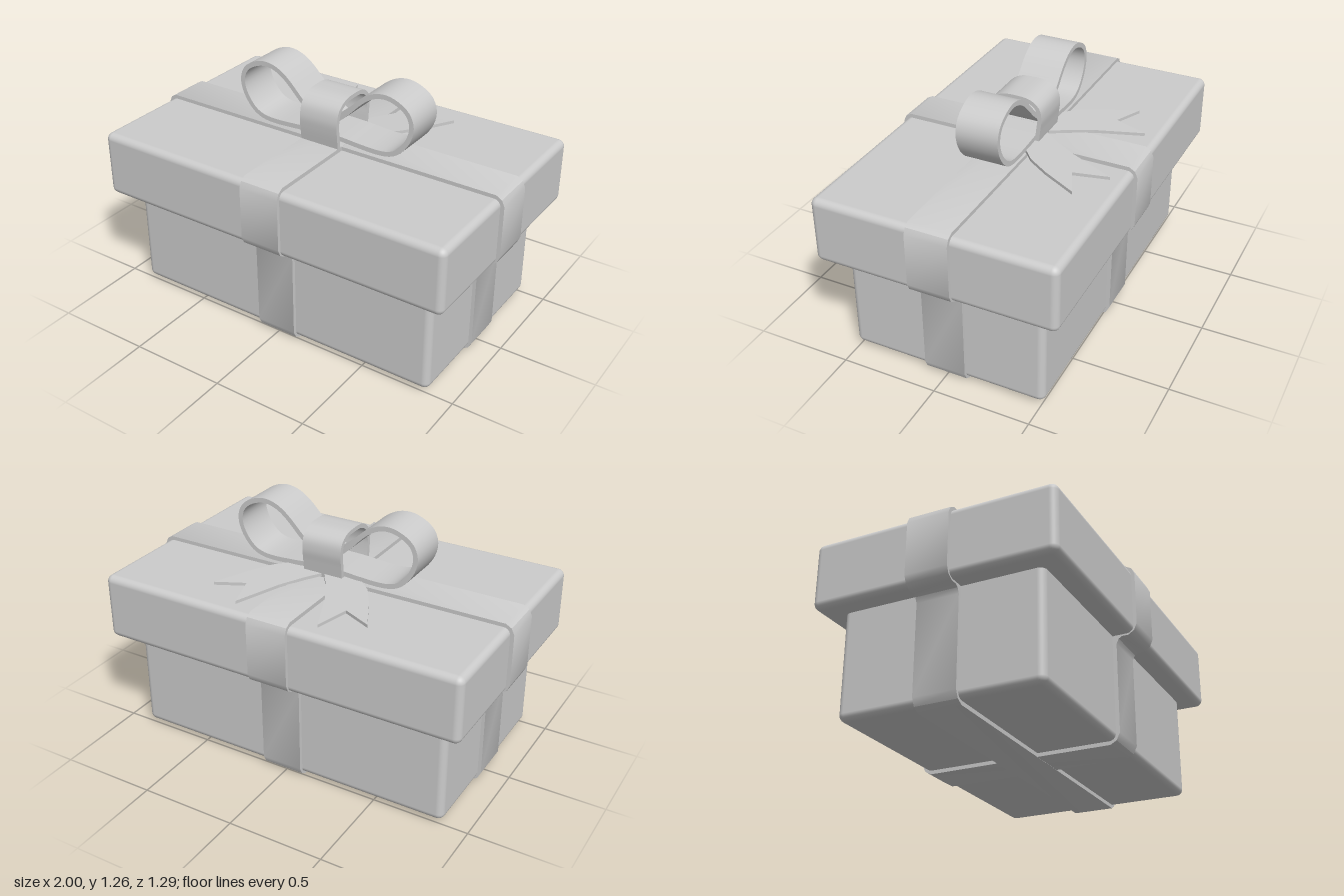
import * as THREE from 'three';
import { toCreasedNormals } from 'three/addons/utils/BufferGeometryUtils.js';
import { RoundedBoxGeometry } from 'three/addons/geometries/RoundedBoxGeometry.js';

const material = new THREE.MeshStandardMaterial({ color: 0xcccccc, side: THREE.DoubleSide });
const RIBBON = 0.217; // ribbon width
const CX = 0.008; // middle of the bow and of the crosswise ribbon

function add(parent, name, geometry) {
  const mesh = new THREE.Mesh(geometry, material);
  mesh.name = name;
  parent.add(mesh);
  return mesh;
}

// Extrude a flat outline, centred on its depth
function slab(shape, depth) {
  const g = new THREE.ExtrudeGeometry(shape, { depth, bevelEnabled: false });
  g.translate(0, 0, -depth / 2);
  return toCreasedNormals(g, 0.6);
}

// Box with softened edges, placed by its bottom and top
function softBox(w, y0, y1, d) {
  const g = new RoundedBoxGeometry(w, y1 - y0, d, 4, 0.035);
  g.translate(0, (y0 + y1) / 2, 0);
  return g;
}

// Stepped outline of the wrapped box, shrunk by d
function wrapOutline(baseHalf, lidHalf, d) {
  const b = baseHalf - d, l = lidHalf - d;
  const y0 = d, step = 0.545 + d, top = 0.92 - d;
  const side = [
    [b - 0.05, y0], [b - 0.018, y0 + 0.018], [b, y0 + 0.055],
    [b, step - 0.035], [b + 0.012, step - 0.01], [b + 0.03, step],
    [l - 0.045, step], [l - 0.015, step + 0.02], [l, step + 0.055],
    [l, top - 0.05], [l - 0.015, top - 0.017], [l - 0.045, top],
  ];
  const other = side.map(([x, y]) => [-x, y]).reverse();
  return [...side, ...other].map(([x, y]) => new THREE.Vector2(x, y));
}

function wrap(baseHalf, lidHalf) {
  const shape = new THREE.Shape(wrapOutline(baseHalf, lidHalf, 0));
  shape.holes.push(new THREE.Path(wrapOutline(baseHalf, lidHalf, 0.024)));
  return slab(shape, RIBBON);
}

// Strip of ribbon that follows a smooth open curve
function strip(points, thickness, width) {
  const curve = new THREE.SplineCurve(points.map(([x, y]) => new THREE.Vector2(x, y)));
  const a = [], b = [];
  const n = 56;
  for (let i = 0; i <= n; i++) {
    const p = curve.getPointAt(i / n);
    const t = curve.getTangentAt(i / n);
    const normal = new THREE.Vector2(-t.y, t.x).multiplyScalar(thickness / 2);
    a.push(p.clone().add(normal));
    b.push(p.clone().sub(normal));
  }
  return slab(new THREE.Shape([...a, ...b.reverse()]), width);
}

// Forked tail lying on the lid and sloping down to the back
function tail(side) {
  const pts = [
    [0.02, 0], [0.0, 0.115], [0.06, 0.2], [0.13, 0.32], [0.228, 0.55],
    [0.28, 0.38], [0.428, 0.445], [0.34, 0.27], [0.27, 0.16], [0.22, 0.115], [0.12, 0],
  ];
  const shape = new THREE.Shape(pts.map(([x, z]) => new THREE.Vector2(side * x, z)));
  const g = new THREE.ExtrudeGeometry(shape, { depth: 0.016, bevelEnabled: false });
  g.rotateX(-Math.PI / 2);
  const p = g.attributes.position;
  for (let i = 0; i < p.count; i++) {
    p.setY(i, p.getY(i) + 0.932 + 0.05 * p.getZ(i));
  }
  g.computeVertexNormals();
  g.translate(CX, 0, 0);
  return g;
}

export function createModel() {
  const group = new THREE.Group();
  group.name = 'giftBox';

  // Box and lid
  add(group, 'box', softBox(1.744, 0.02, 0.6, 1.03));
  add(group, 'lid', softBox(1.96, 0.555, 0.9, 1.25));

  // Two ribbons wrapped around the box
  add(group, 'lengthwiseRibbon', wrap(0.89, 1.0));
  const cross = add(group, 'crosswiseRibbon', wrap(0.535, 0.643));
  cross.rotation.y = Math.PI / 2;
  cross.position.set(CX, 0.001, 0);

  // Bow
  const bow = new THREE.Group();
  bow.name = 'bow';
  group.add(bow);
  const loop = [
    [0, 1.0], [0.06, 1.045], [0.125, 1.1], [0.22, 1.195], [0.29, 1.238], [0.36, 1.248],
    [0.43, 1.225], [0.477, 1.185], [0.495, 1.125], [0.477, 1.055], [0.43, 0.99],
    [0.375, 0.958], [0.3, 0.949], [0.2, 0.953], [0.1, 0.96], [0, 0.962],
  ];
  for (const side of [1, -1]) {
    const word = side > 0 ? 'left' : 'right';
    const points = loop.map(([x, y]) => [CX + side * x, y]);
    add(bow, word + 'Loop', strip(points, 0.025, RIBBON));
    add(bow, word + 'Tail', tail(side));
  }

  // Knot band arching over the middle of the bow
  const arch = [
    [-0.132, 0.915], [-0.142, 1.0], [-0.142, 1.06], [-0.122, 1.115], [-0.07, 1.148], [0, 1.155],
    [0.07, 1.148], [0.116, 1.115], [0.128, 1.06], [0.122, 1.0], [0.112, 0.915],
  ];
  const knot = add(bow, 'knot', strip(arch, 0.022, RIBBON));
  knot.rotation.y = Math.PI / 2;
  knot.position.x = CX;

  return group;
}
